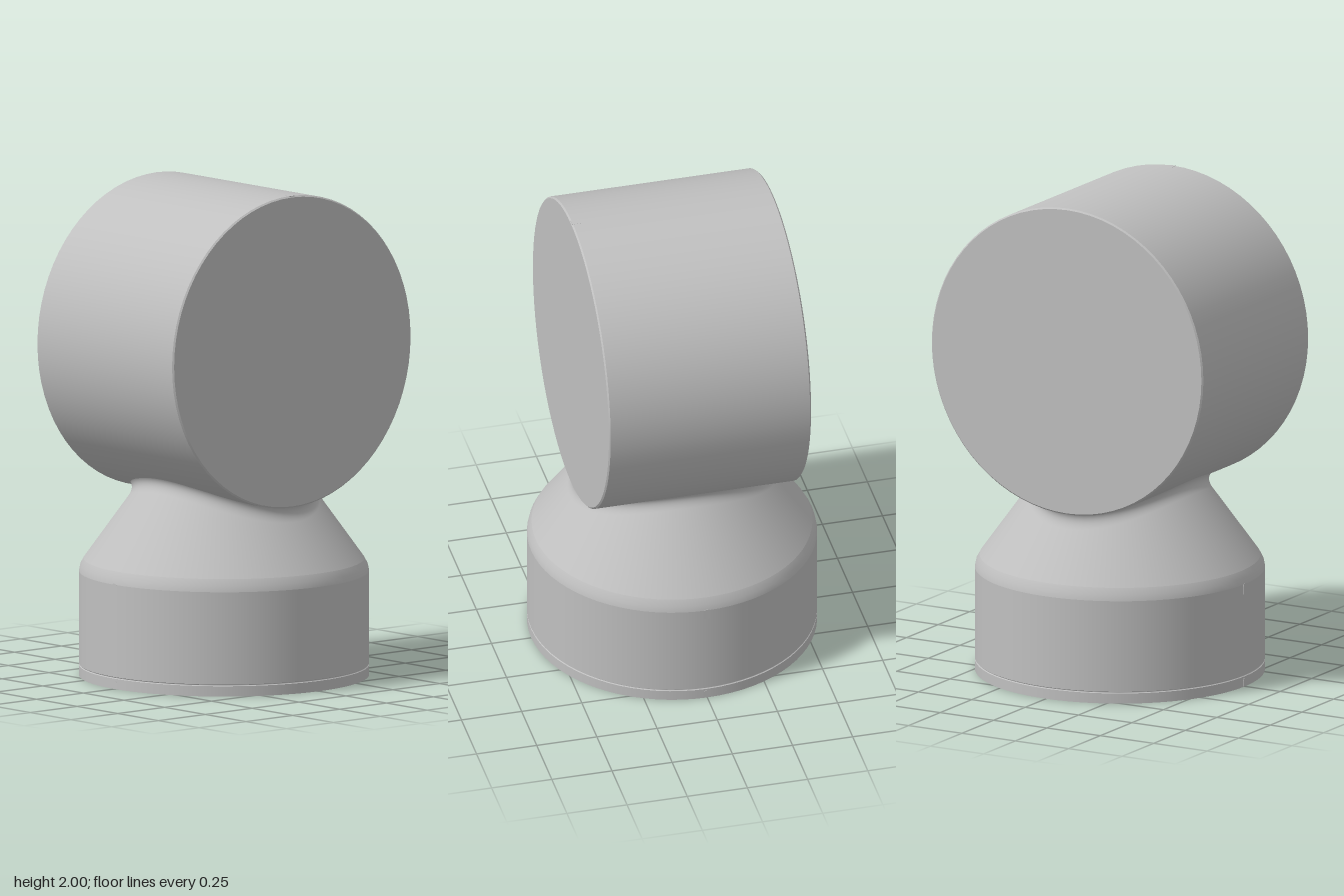
import * as THREE from 'three';
import { ParametricGeometry } from 'three/addons/geometries/ParametricGeometry.js';

const SIDES = 72;
const DRUM_R = 0.636, DRUM_Y = 1.364, DRUM_HALF = 0.42;

// radius of the tapered shoulder at height y
const coneRadius = (y) => 0.34 + (0.79 - y) * 0.72;

// small arch-shaped key mark, flat side down, facing +z
function archGeometry(height) {
  const r = 0.014, shape = new THREE.Shape();
  shape.moveTo(-r, 0);
  shape.lineTo(r, 0);
  shape.lineTo(r, height - r);
  shape.absarc(0, height - r, r, 0, Math.PI, false);
  shape.closePath();
  return new THREE.ExtrudeGeometry(shape, { depth: 0.003, bevelEnabled: false, curveSegments: 8 });
}

export function createModel() {
  const model = new THREE.Group();
  const grey = new THREE.MeshStandardMaterial({ color: 0xc0c0c0 });
  grey.name = 'plain grey';

  function add(name, geometry, parent = model) {
    const mesh = new THREE.Mesh(geometry, grey);
    mesh.name = name;
    parent.add(mesh);
    return mesh;
  }

  // Drum lying along z, with finely bevelled ends
  const drum = new THREE.Group();
  drum.name = 'drum';
  drum.position.y = DRUM_Y;
  drum.rotation.x = Math.PI / 2;
  model.add(drum);
  const bevel = 0.006;
  add('drumBarrel', new THREE.CylinderGeometry(DRUM_R, DRUM_R, 2 * (DRUM_HALF - bevel), SIDES, 1, true), drum);
  for (const side of [1, -1]) {
    const end = add('drumEnd', new THREE.CylinderGeometry(DRUM_R - bevel, DRUM_R, bevel, SIDES), drum);
    end.position.y = side * (DRUM_HALF - bevel / 2);
    if (side < 0) end.rotation.x = Math.PI;
  }

  // Socket base: recess, rim, fine groove, wall and shoulder (doubled points keep edges sharp)
  const profile = [
    [0, 0.17], [0.5, 0.17], [0.5, 0.17], [0.5, 0.008], [0.5, 0.008], [0.506, 0], [0.506, 0],
    [0.585, 0], [0.585, 0], [0.585, 0.042], [0.585, 0.042], [0.581, 0.044], [0.581, 0.047],
    [0.585, 0.049], [0.585, 0.049], [0.585, 0.425], [0.585, 0.425], [0.58, 0.45],
    [0.566, 0.476], [0.566, 0.476], [coneRadius(0.64), 0.64],
  ].map(([r, y]) => new THREE.Vector2(r, y));
  const base = new THREE.LatheGeometry(profile, SIDES);
  base.normalizeNormals();
  add('base', base);

  // Neck: continues the shoulder and flares into the underside of the drum
  const neck = new ParametricGeometry((u, v, target) => {
    const a = u * Math.PI * 2, s = Math.sin(a), c = Math.cos(a);
    const contactR = 1 / Math.hypot(s / 0.347, c / 0.416);
    const contactY = DRUM_Y - Math.sqrt(DRUM_R ** 2 - (contactR * s) ** 2) + 0.002;
    const startY = contactY - 0.06, bendY = contactY - 0.025;
    let r, y;
    if (v <= 0.4) {
      y = THREE.MathUtils.lerp(0.64, startY, v / 0.4);
      r = coneRadius(y);
    } else {
      const t = (v - 0.4) / 0.6, k = 1 - t;
      r = k * k * coneRadius(startY) + 2 * k * t * coneRadius(bendY) + t * t * contactR;
      y = k * k * startY + 2 * k * t * bendY + t * t * contactY;
    }
    target.set(r * s, y, r * c);
  }, SIDES, 15);
  add('neck', neck);

  // Key marks on the drum top and on both sides of the base
  const topMark = add('drumKeyMark', archGeometry(0.042));
  topMark.rotation.x = -Math.PI / 2;
  topMark.position.set(0, 1.997, 0.418);
  for (const side of [1, -1]) {
    for (const [y, height] of [[0.385, 0.045], [0.003, 0.034]]) {
      const mark = add('baseKeyMark', archGeometry(height));
      mark.rotation.y = side * Math.PI / 2;
      mark.position.set(side * 0.583, y, 0);
    }
  }
  return model;
}
